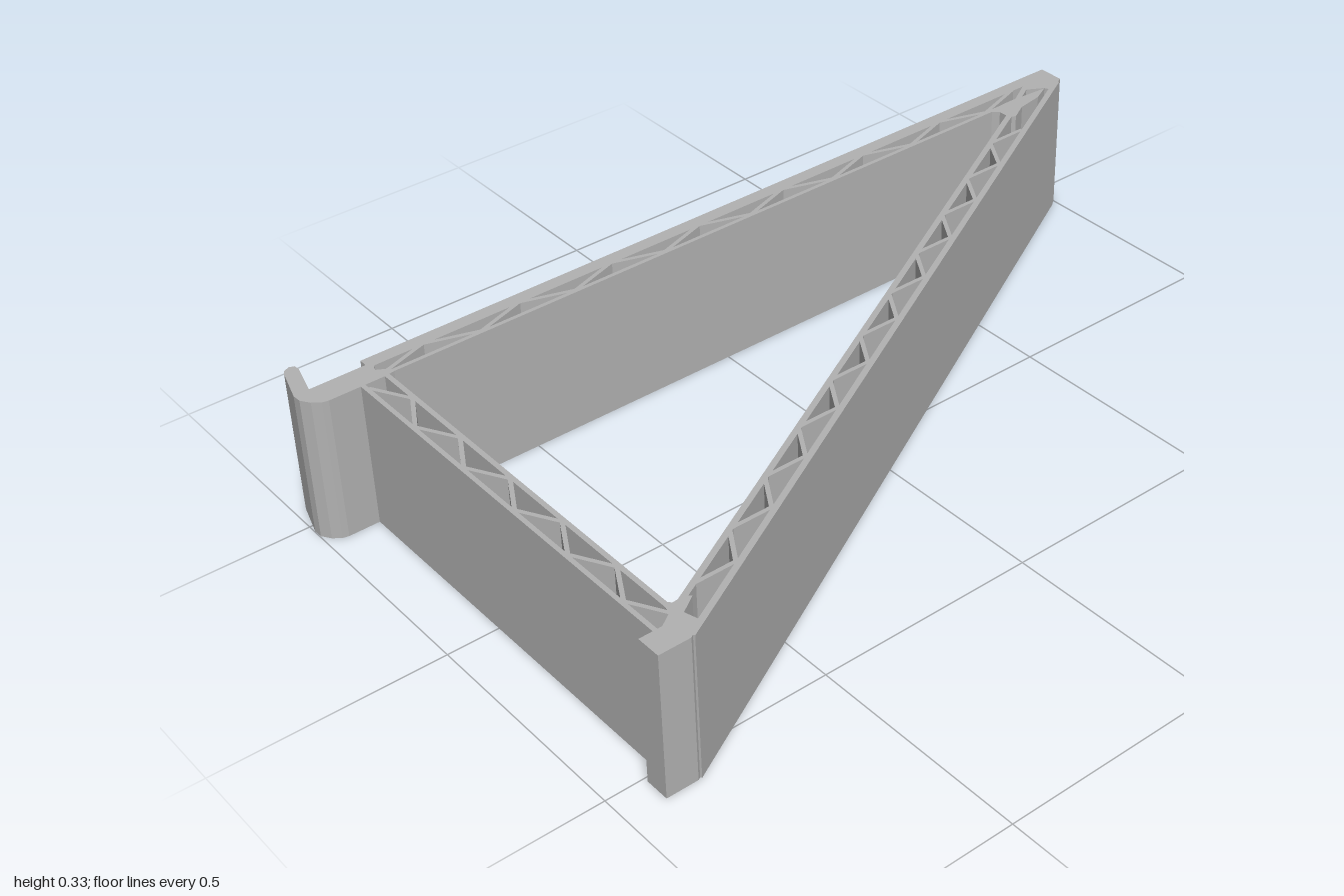
import * as THREE from 'three';

const H = 0.33; // height of the whole frame

export function createModel() {
  const group = new THREE.Group();
  group.name = 'triangularTrussBracket';
  const grey = new THREE.MeshStandardMaterial({ color: 0xb2b2b2 });

  // Upright prism from a plan outline of [x, z] points
  function prism(name, points, y = 0, height = H) {
    const shape = new THREE.Shape(points.map(([x, z]) => new THREE.Vector2(x, -z)));
    const geo = new THREE.ExtrudeGeometry(shape, { depth: height, bevelEnabled: false });
    geo.rotateX(-Math.PI / 2);
    const mesh = new THREE.Mesh(geo, grey);
    mesh.name = name;
    mesh.position.y = y;
    group.add(mesh);
  }

  // Full-height wall of thickness t between two plan points
  function wall(name, [x1, z1], [x2, z2], t = 0.012) {
    const len = Math.hypot(x2 - x1, z2 - z1);
    const mesh = new THREE.Mesh(new THREE.BoxGeometry(len, H, t), grey);
    mesh.name = name;
    mesh.position.set((x1 + x2) / 2, H / 2, (z1 + z2) / 2);
    mesh.rotation.y = -Math.atan2(z2 - z1, x2 - x1);
    group.add(mesh);
  }

  // Chain of lattice webs through a list of plan points
  function lattice(name, points) {
    for (let i = 1; i < points.length; i++) wall(name, points[i - 1], points[i], 0.009);
  }

  // Back beam: two skins and a zigzag web
  wall('backOuterSkin', [-0.84, -0.475], [0.99, -0.475]);
  wall('backInnerSkin', [-0.82, -0.432], [0.8, -0.432], 0.009);
  const backWeb = [];
  for (let i = 0; i <= 15; i++) backWeb.push([-0.83 + i * 0.1137, i % 2 ? -0.472 : -0.435]);
  lattice('backWeb', backWeb);

  // Raised rim around the back panel
  const rim = [[-0.84, -0.5], [1, -0.5], [1, -0.475], [-0.84, -0.475]];
  prism('backRimBottom', rim, 0, 0.018);
  prism('backRimTop', rim, H - 0.018, 0.018);

  // Side beam
  wall('sideOuterSkin', [-0.88, -0.43], [-0.88, 0.52], 0.01);
  wall('sideInnerSkin', [-0.826, -0.43], [-0.826, 0.49], 0.011);
  const sideWeb = [];
  for (let i = 0; i <= 11; i++) sideWeb.push([i % 2 ? -0.83 : -0.876, -0.41 + i * 0.0825]);
  lattice('sideWeb', sideWeb);

  // Sloping front beam, with webs alternately square to the frame and steep
  const slope = 0.545;
  const outerX = z => -0.84 + (0.551 - z) / slope;
  const innerX = z => -0.8 + (0.477 - z) / slope;
  wall('frontOuterSkin', [outerX(0.551), 0.559], [0.985, -0.436], 0.013);
  wall('frontInnerSkin', [innerX(0.477), 0.477], [innerX(-0.4), -0.4], 0.013);
  const frontWeb = [];
  for (let i = 0; i <= 10; i++) {
    const z = 0.455 - i * 0.078;
    frontWeb.push([innerX(z), z], [outerX(z), z]);
  }
  lattice('frontWeb', frontWeb);

  // Hooked corner
  prism('hookCorner', [
    [-0.82, -0.481], [-0.965, -0.481], [-0.945, -0.555], [-0.947, -0.567], [-0.957, -0.571],
    [-0.97, -0.566], [-0.976, -0.556], [-0.999, -0.48], [-0.998, -0.46], [-0.985, -0.44],
    [-0.968, -0.427], [-0.955, -0.424], [-0.83, -0.424], [-0.805, -0.428], [-0.81, -0.44], [-0.835, -0.455],
  ]);

  // Square foot at the front corner
  prism('frontFoot', [
    [-0.915, 0.51], [-0.865, 0.51], [-0.835, 0.49], [-0.828, 0.455], [-0.815, 0.472], [-0.79, 0.47],
    [-0.778, 0.48], [-0.815, 0.505], [-0.805, 0.54], [-0.845, 0.565], [-0.915, 0.565],
  ]);

  // Narrow end where back and front beams meet
  prism('pointedEnd', [
    [1, -0.5], [1, -0.44], [0.95, -0.413], [0.94, -0.432], [0.9, -0.455], [0.935, -0.478], [0.98, -0.482], [0.98, -0.5],
  ]);
  prism('narrowCornerFillet', [
    [0.765, -0.435], [0.785, -0.415], [0.785, -0.385], [0.8, -0.378], [0.84, -0.4], [0.9, -0.41], [0.94, -0.43], [0.84, -0.438],
  ]);
  wall('narrowCornerWeb', [0.82, -0.41], [0.93, -0.475], 0.012);

  return group;
}
